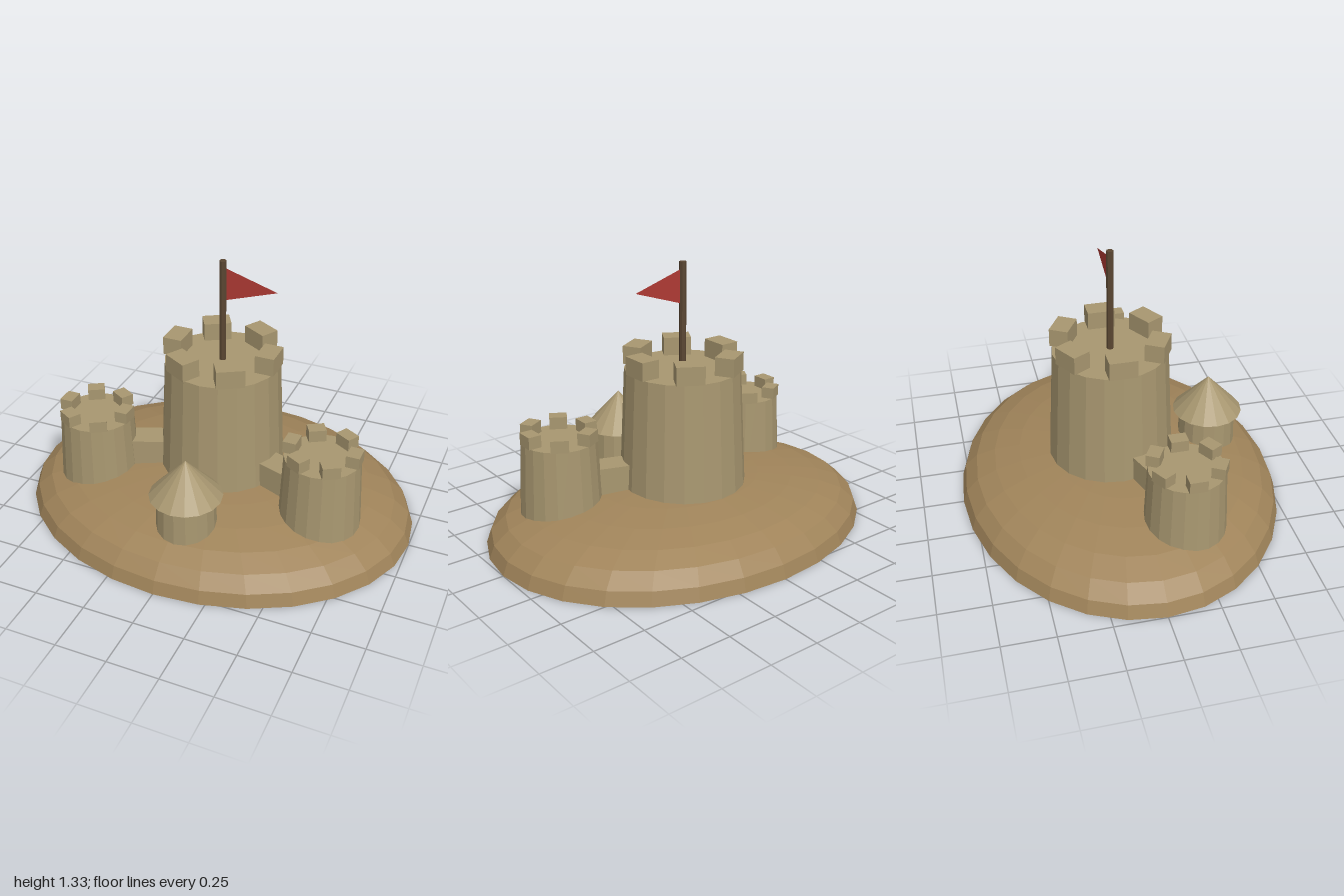
import * as THREE from 'three';

const paint = (color, extra = {}) =>
  new THREE.MeshStandardMaterial({ color, flatShading: true, ...extra });

export function createModel() {
  const model = new THREE.Group();
  const wetSand = paint(0xa0845a);
  const sand = paint(0xa89770);
  const wood = paint(0x5a4632);
  const cloth = paint(0xb03a34, { side: THREE.DoubleSide });

  const add = (parent, name, geometry, material, x = 0, y = 0, z = 0) => {
    const mesh = new THREE.Mesh(geometry, material);
    mesh.name = name;
    mesh.position.set(x, y, z);
    parent.add(mesh);
    return mesh;
  };

  // Oval mound with a closed flat underside
  const profile = [[0, 0], [1, 0], [0.975, 0.065], [0.9, 0.128], [0.78, 0.173],
    [0.62, 0.205], [0.434, 0.227], [0.22, 0.24], [0, 0.245]]
    .map(([r, y]) => new THREE.Vector2(r, y));
  add(model, 'mound', new THREE.LatheGeometry(profile, 28), wetSand).scale.z = 0.8;

  // Tapered round body, sunk into the mound
  const sink = 0.02;
  const body = (parent, name, rTop, rBase, top, sides) =>
    add(parent, name, new THREE.CylinderGeometry(rTop, rBase, top - sink, sides),
      sand, 0, (top + sink) / 2, 0);

  // Tower with a ring of six battlement blocks
  const tower = (name, x, z, rTop, rBase, top, block) => {
    const group = new THREE.Group();
    group.name = name;
    group.position.set(x, 0, z);
    body(group, 'towerBody', rTop, rBase, top, 20);
    const [depth, height, width] = block;
    const r = rTop + 0.003 - depth / 2;
    for (let i = 0; i < 6; i++) {
      const a = (i * Math.PI) / 3;
      add(group, 'battlement', new THREE.BoxGeometry(depth, height, width), sand,
        Math.cos(a) * r, top + height / 2, Math.sin(a) * r).rotation.y = -a;
    }
    model.add(group);
    return group;
  };
  const keep = tower('keep', 0, -0.035, 0.282, 0.32, 0.81, [0.095, 0.09, 0.135]);
  const sideTowers = [
    tower('rightTower', -0.585, 0.19, 0.182, 0.203, 0.49, [0.065, 0.058, 0.085]),
    tower('leftTower', 0.585, 0.16, 0.182, 0.205, 0.52, [0.065, 0.06, 0.085]),
  ];

  // Walls joining the keep to the side towers
  for (const { position } of sideTowers) {
    const dx = position.x - keep.position.x;
    const dz = position.z - keep.position.z;
    const wall = add(model, 'wall',
      new THREE.BoxGeometry(Math.hypot(dx, dz) - 0.3, 0.34, 0.13), sand,
      keep.position.x + dx * 0.58, 0.19, keep.position.z + dz * 0.58);
    wall.rotation.y = -Math.atan2(dz, dx);
  }

  // Small front turret with a pointed roof
  const turret = new THREE.Group();
  turret.name = 'turret';
  turret.position.set(0.03, 0, 0.48);
  body(turret, 'turretBody', 0.14, 0.15, 0.36, 16);
  add(turret, 'turretRoof', new THREE.ConeGeometry(0.175, 0.19, 16), sand, 0, 0.455, 0);
  model.add(turret);

  // Flagpole and pennant
  add(keep, 'flagpole', new THREE.CylinderGeometry(0.017, 0.017, 0.525, 8), wood, 0, 1.0625, 0);
  const pennant = new THREE.Shape([
    new THREE.Vector2(0.01, 1.125), new THREE.Vector2(0.27, 1.21), new THREE.Vector2(0.01, 1.29)]);
  add(keep, 'flag', new THREE.ShapeGeometry(pennant), cloth);

  return model;
}
